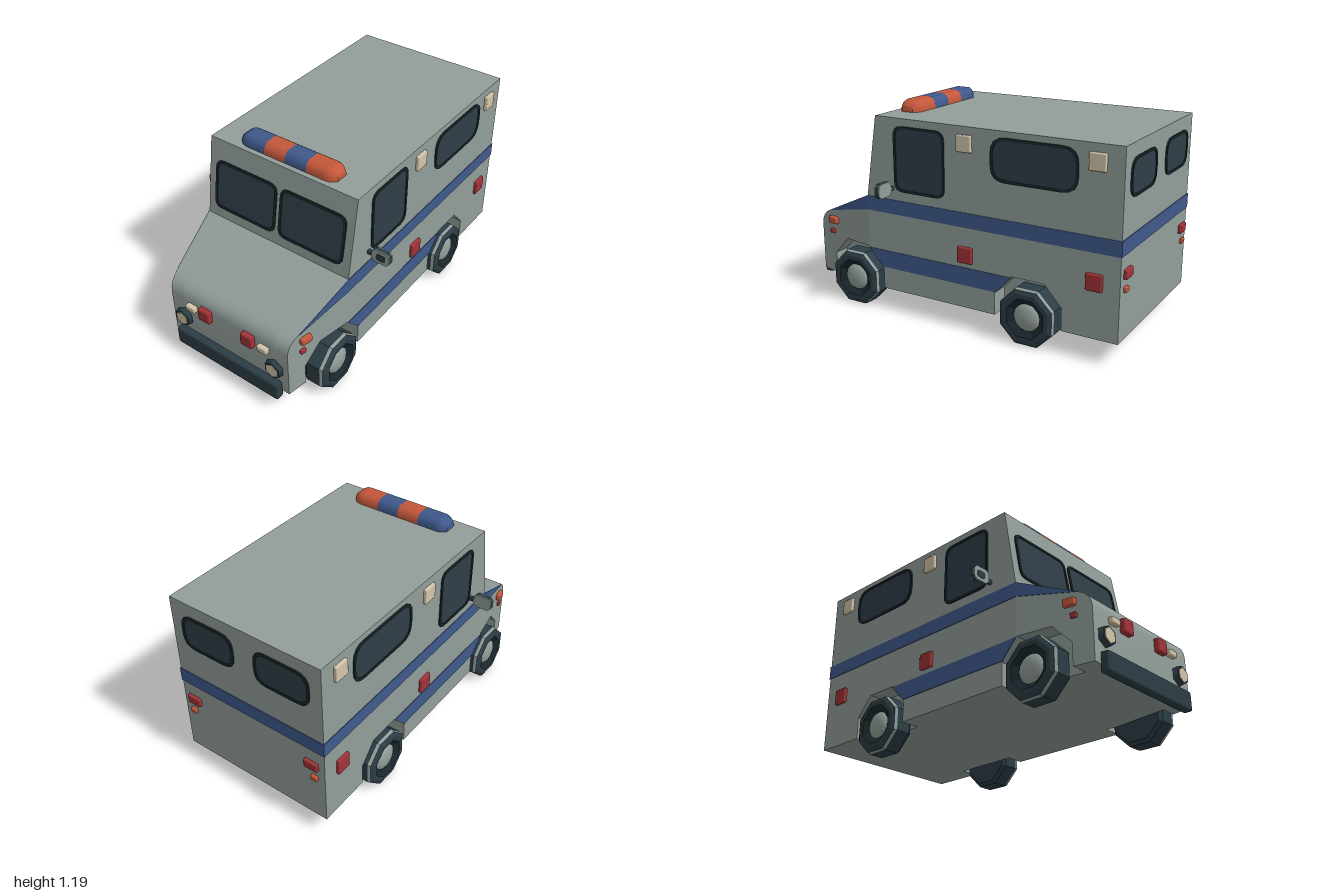
import * as THREE from 'three';
import { toCreasedNormals } from 'three/addons/utils/BufferGeometryUtils.js';
import { RoundedBoxGeometry } from 'three/addons/geometries/RoundedBoxGeometry.js';

const paint = (name, color) => Object.assign(new THREE.MeshStandardMaterial({ color }), { name });

export function createModel() {
  const model = new THREE.Group();
  model.name = 'boxVan';
  const grey = paint('body grey', 0x929e9a), blue = paint('stripe blue', 0x3f5a8c);
  const orange = paint('lamp orange', 0xc6583c), red = paint('lamp red', 0xa13237);
  const cream = paint('lamp cream', 0xd3c5a9), dark = paint('rubber', 0x2c3d45);
  const glass = paint('glass', 0x2f3e47), trim = paint('window trim', 0x1a272c);

  const add = (name, geo, mat, x = 0, y = 0, z = 0, parent = model) => {
    const mesh = new THREE.Mesh(geo, mat);
    mesh.name = name;
    mesh.position.set(x, y, z);
    parent.add(mesh);
    return mesh;
  };
  const box = (name, w, h, d, mat, x, y, z) =>
    add(name, new RoundedBoxGeometry(w, h, d, 1, Math.min(w, h, d) * 0.22), mat, x, y, z);

  // the nose narrows towards the front
  const FOLD = 0.545, FRONT = 0.957, HALF = 0.475, WELL = 0.37;
  const taper = z => 1 - 0.158 * Math.max(0, (z - FOLD) / (FRONT - FOLD));

  // side outline of [z, y] points, extruded from x0 to x1 and tapered
  const slab = (name, pts, x0, x1, mat) => {
    const shape = new THREE.Shape(pts.map(p => new THREE.Vector2(...p)));
    const geo = new THREE.ExtrudeGeometry(shape, { depth: x1 - x0, bevelEnabled: false });
    geo.rotateY(-Math.PI / 2).translate(x1, 0, 0);
    const p = geo.attributes.position;
    for (let i = 0; i < p.count; i++) p.setX(i, p.getX(i) * taper(p.getZ(i)));
    geo.computeVertexNormals();
    return add(name, toCreasedNormals(geo, 0.5), mat);
  };
  const mirrored = (name, pts, x0, x1, mat) => {
    slab(name + 'Left', pts, x0, x1, mat);
    slab(name + 'Right', pts, -x1, -x0, mat);
  };

  // body: full core plus side walls with wheel wells
  const cabTop = [[FOLD, 0.662], [0.47, 1.122], [-0.98, 1.122], [-0.98, 0.125]];
  const hood = [[FRONT, 0.125], [FRONT, 0.41], [0.952, 0.44], [0.938, 0.468], [0.915, 0.49], [0.88, 0.508], [FOLD, 0.662]];
  slab('cabCore', [...cabTop, [FOLD, 0.125]], -WELL, WELL, grey);
  slab('noseCore', [[FOLD, 0.125], ...hood], -WELL, WELL, grey);
  mirrored('cabSide', [...cabTop, [-0.67, 0.125], [-0.67, 0.25], [-0.57, 0.36], [-0.38, 0.36],
    [-0.28, 0.25], [-0.28, 0.125], [0.45, 0.125], [0.45, 0.25], [FOLD, 0.355]], WELL, HALF, grey);
  mirrored('noseSide', [[FOLD, 0.355], [0.55, 0.36], [0.74, 0.36], [0.845, 0.25], [0.845, 0.125], ...hood], WELL, HALF, grey);

  // blue stripes
  const out = HALF + 0.004;
  mirrored('upperStripe', [[-0.98, 0.58], [FOLD, 0.58], [FOLD, 0.662], [-0.98, 0.662]], HALF - 0.002, out, blue);
  mirrored('noseStripe', [[FOLD, 0.58], [0.87, 0.508], [0.88, 0.508], [FOLD, 0.662]], HALF - 0.002, out, blue);
  mirrored('lowerStripe', [[-0.285, 0.255], [0.455, 0.255], [0.545, 0.355], [-0.38, 0.355]], HALF - 0.002, out, blue);
  add('rearStripe', new THREE.BoxGeometry(2 * out, 0.082, 0.006), blue, 0, 0.621, -0.981);

  // windows: a trim ring around a thin pane, facing +z before turning
  const roundRect = (w, h, r, Type = THREE.Shape) => {
    const s = new Type(), a = w / 2, b = h / 2;
    s.moveTo(-a + r, -b).lineTo(a - r, -b).quadraticCurveTo(a, -b, a, -b + r);
    s.lineTo(a, b - r).quadraticCurveTo(a, b, a - r, b);
    s.lineTo(-a + r, b).quadraticCurveTo(-a, b, -a, b - r);
    s.lineTo(-a, -b + r).quadraticCurveTo(-a, -b, -a + r, -b);
    return s;
  };
  const extrude = (shape, depth) => new THREE.ExtrudeGeometry(shape, { depth, bevelEnabled: false, curveSegments: 4 });
  const makeWindow = (name, w, h, r, x, y, z, rx, ry) => {
    const g = new THREE.Group();
    g.name = name;
    const ring = roundRect(w, h, r);
    ring.holes.push(roundRect(w - 0.028, h - 0.028, r - 0.008, THREE.Path));
    add('windowTrim', extrude(ring, 0.008), trim, 0, 0, 0, g);
    add('windowPane', extrude(roundRect(w - 0.02, h - 0.02, r - 0.006), 0.003), glass, 0, 0, 0, g);
    g.position.set(x, y, z);
    g.rotation.set(rx, ry, 0);
    model.add(g);
  };

  // wheel pieces: eight-sided, axis along x
  const lathe = (pts, sides) => {
    const g = new THREE.LatheGeometry(pts.map(p => new THREE.Vector2(...p)), sides, Math.PI / 8);
    g.rotateZ(-Math.PI / 2);
    if (sides > 8) return g;
    const flat = g.toNonIndexed();
    flat.computeVertexNormals();
    return flat;
  };
  const tyre = lathe([[0, 0.37], [0.15, 0.37], [0.168, 0.39], [0.168, 0.476]], 8);
  const band = lathe([[0.168, 0.476], [0.163, 0.494]], 8);
  const face = lathe([[0.163, 0.494], [0.142, 0.505], [0.115, 0.505]], 8);
  const dish = lathe([[0.115, 0.505], [0.08, 0.48], [0, 0.48]], 8);
  const hub = lathe([[0.078, 0.478], [0.072, 0.488], [0.055, 0.497], [0.03, 0.503], [0, 0.505]], 16);

  for (const s of [1, -1]) {
    const turn = s * Math.PI / 2;
    makeWindow('doorWindow', 0.325, 0.365, 0.055, s * HALF, 0.898, 0.188, 0, turn);
    makeWindow('sideWindow', 0.49, 0.232, 0.085, s * HALF, 0.973, -0.5, 0, turn);
    makeWindow('windscreen', 0.417, 0.29, 0.05, s * 0.22, 0.8625, 0.512, -0.162, 0);
    makeWindow('rearWindow', 0.34, 0.2, 0.075, s * 0.235, 0.95, -0.98, 0, Math.PI);

    // side, rear and front lamps
    for (const z of [-0.1, -0.845]) {
      box('sideLamp', 0.03, 0.09, 0.09, cream, s * 0.478, 1.033, z);
      box('sideReflector', 0.03, 0.09, 0.09, red, s * 0.478, 0.428, z);
    }
    box('rearLamp', 0.085, 0.05, 0.03, red, s * 0.395, 0.48, -0.984);
    box('rearMarker', 0.04, 0.03, 0.026, orange, s * 0.412, 0.4, -0.984);
    box('frontReflector', 0.078, 0.077, 0.04, red, s * 0.147, 0.382, 0.967);
    box('frontLamp', 0.065, 0.037, 0.04, cream, s * 0.247, 0.377, 0.965);
    box('noseMarker', 0.04, 0.042, 0.068, orange, s * 0.426, 0.455, 0.843).rotation.y = -s * 0.18;
    box('noseReflector', 0.03, 0.028, 0.035, red, s * 0.418, 0.383, 0.861).rotation.y = -s * 0.18;
    const rim = add('headlightRim', new THREE.CylinderGeometry(0.052, 0.058, 0.035, 6), dark, s * 0.315, 0.275, 0.968);
    const lens = add('headlightLens', new THREE.CylinderGeometry(0.041, 0.041, 0.006, 6), cream, s * 0.315, 0.275, 0.985);
    rim.rotation.x = lens.rotation.x = Math.PI / 2;
    rim.material = dark;

    // wing mirror with faces front and back
    box('mirrorArm', 0.06, 0.024, 0.022, dark, s * 0.496, 0.729, 0.37);
    const outline = new THREE.Shape([[-0.035, -0.04], [0.035, -0.04], [0.054, -0.022], [0.054, 0.022],
      [0.035, 0.04], [-0.035, 0.04], [-0.054, 0.022], [-0.054, -0.022]].map(p => new THREE.Vector2(...p)));
    add('mirrorCase', extrude(outline, 0.022), dark, s * 0.558, 0.737, 0.36);
    add('mirrorFront', extrude(outline, 0.005), grey, s * 0.558, 0.737, 0.382);
    add('mirrorBack', extrude(outline, 0.005), grey, s * 0.558, 0.737, 0.355);
    add('mirrorInset', extrude(roundRect(0.056, 0.04, 0.014), 0.003), dark, s * 0.561, 0.735, 0.386);

    for (const z of [0.645, -0.475]) {
      const wheel = new THREE.Group();
      wheel.name = 'wheel';
      add('tyre', tyre, dark, 0, 0, 0, wheel);
      add('wheelBand', band, grey, 0, 0, 0, wheel);
      add('wheelFace', face, dark, 0, 0, 0, wheel);
      add('wheelDish', dish, trim, 0, 0, 0, wheel);
      add('hubCap', hub, grey, 0, 0, 0, wheel);
      wheel.position.set(0, 0.155, z);
      wheel.rotation.y = s > 0 ? 0 : Math.PI;
      model.add(wheel);
    }
  }

  // front bumper
  box('bumper', 0.71, 0.108, 0.052, dark, 0, 0.135, 0.974);

  // roof light bar: four sections, shrinking at the outer ends
  const bar = [[-0.066, 0], [0.066, 0], [0.066, 0.025], [0.056, 0.048], [0.036, 0.064], [-0.036, 0.064], [-0.056, 0.048], [-0.066, 0.025]];
  const cuts = [-0.31, -0.135, 0, 0.135, 0.31];
  for (let k = 0; k < 4; k++) {
    const geo = new THREE.ExtrudeGeometry(new THREE.Shape(bar.map(p => new THREE.Vector2(...p))),
      { depth: cuts[k + 1] - cuts[k], steps: 10, bevelEnabled: false });
    geo.rotateY(-Math.PI / 2).translate(cuts[k + 1], 0, 0);
    const p = geo.attributes.position;
    for (let i = 0; i < p.count; i++) {
      const t = Math.max(0, (Math.abs(p.getX(i)) - 0.255) / 0.055), f = 1 - 0.45 * t * t;
      p.setY(i, p.getY(i) * f);
      p.setZ(i, p.getZ(i) * f);
    }
    geo.computeVertexNormals();
    add('lightBarSection', toCreasedNormals(geo, 0.8), k % 2 ? orange : blue, 0, 1.121, 0.375);
  }
  return model;
}
